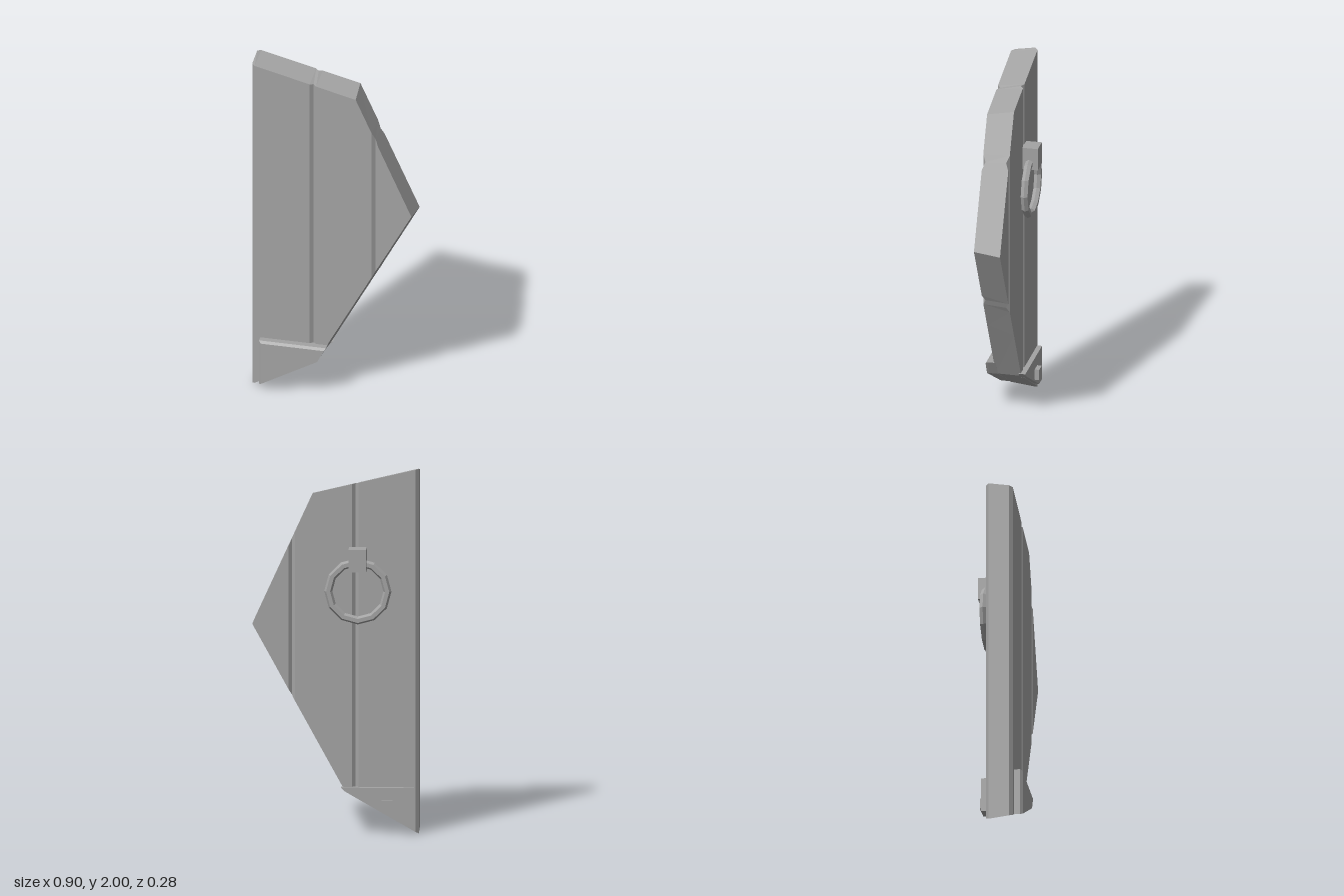
import * as THREE from 'three';

// Skins a row of matching convex loops (counterclockwise seen from the last one) with flat faces and end caps
function loft(loops) {
  const pos = [];
  const tri = (...pts) => {
    const [a, b, c] = pts.map((p) => new THREE.Vector3(...p));
    if (new THREE.Triangle(a, b, c).getArea() < 1e-7) return;
    for (const p of pts) pos.push(...p);
  };
  const n = loops[0].length;
  for (let k = 0; k + 1 < loops.length; k++) {
    const A = loops[k], B = loops[k + 1];
    for (let i = 0; i < n; i++) {
      const j = (i + 1) % n;
      tri(A[i], A[j], B[j]);
      tri(A[i], B[j], B[i]);
    }
  }
  const first = loops[0], last = loops[loops.length - 1];
  for (let i = 1; i + 1 < n; i++) {
    tri(first[0], first[i + 1], first[i]);
    tri(last[0], last[i], last[i + 1]);
  }
  const g = new THREE.BufferGeometry();
  g.setAttribute('position', new THREE.Float32BufferAttribute(pos, 3));
  g.computeVertexNormals();
  return g;
}

// Piecewise linear height along x
function heightAt(points, x) {
  for (let i = 0; i + 1 < points.length; i++) {
    const [x0, y0] = points[i], [x1, y1] = points[i + 1];
    if (x <= x1 || i + 2 === points.length) return y0 + ((y1 - y0) * (x - x0)) / (x1 - x0);
  }
}

export function createModel() {
  const group = new THREE.Group();
  const grey = new THREE.MeshStandardMaterial({ color: 0xa3a3a3 });
  grey.name = 'grey';
  const add = (name, geometry, x = 0, y = 0, z = 0) => {
    const mesh = new THREE.Mesh(geometry, grey);
    mesh.name = name;
    mesh.position.set(x, y, z);
    group.add(mesh);
    return mesh;
  };

  // Broken door slab: slanted cuts, chamfered hinge edge, V grooves between planks
  const FRONT = 0.092, BACK = -0.055;
  const topFront = [[-0.45, 1.98], [0.13, 1.84], [0.44, 1.16]];
  const topBack = [[-0.45, 2.0], [0.12, 1.865], [0.45, 1.145]];
  const lowFront = [[-0.45, 0.012], [-0.075, 0.225], [0.44, 1.16]];
  const lowBack = [[-0.45, 0], [-0.05, 0.235], [0.45, 1.145]];
  // Columns: front x, back x, inset from both faces
  const groove = (x) => [[x - 0.018, x - 0.018, 0], [x, x, 0.016], [x + 0.018, x + 0.018, 0]];
  const columns = [
    [-0.45, -0.45, 0.018], [-0.432, -0.432, 0],
    ...groove(-0.108),
    [-0.075, -0.05, 0], [0.13, 0.12, 0],
    ...groove(0.237),
    [0.44, 0.45, 0],
  ];
  add('doorPlanks', loft(columns.map(([xf, xb, inset]) => [
    [xf, heightAt(topFront, xf), FRONT - inset],
    [xf, heightAt(lowFront, xf), FRONT - inset],
    [xb, heightAt(lowBack, xb), BACK + inset],
    [xb, heightAt(topBack, xb), BACK + inset],
  ])));

  // Metal strap on the front with bevelled top and side
  const layer = (points, z) => points.map(([x, y]) => [x, y, z]);
  const strap = [[-0.4, 0.04], [-0.073, 0.224], [-0.027, 0.307], [-0.4, 0.307]];
  const strapFace = [[-0.388, 0.046], [-0.073, 0.223], [-0.036, 0.295], [-0.388, 0.295]];
  add('frontStrap', loft([layer(strap, 0.08), layer(strap, 0.127), layer(strapFace, 0.14)]));

  // Metal plate on the back with a square bolt
  const plate = [[-0.425, 0.06], [-0.355, 0.06], [-0.05, 0.235], [-0.03, 0.255], [-0.425, 0.255]];
  add('backPlate', loft([layer(plate, -0.082), layer(plate, -0.045)]));
  add('backBolt', new THREE.BoxGeometry(0.06, 0.06, 0.035), -0.28, 0.16, -0.09);

  // Pull ring hanging from its block
  add('ringMount', new THREE.BoxGeometry(0.096, 0.125, 0.09), -0.122, 1.508, -0.096);
  const ring = new THREE.TorusGeometry(0.16, 0.022, 6, 12).toNonIndexed();
  ring.computeVertexNormals();
  add('pullRing', ring, -0.123, 1.335, -0.094);

  return group;
}
